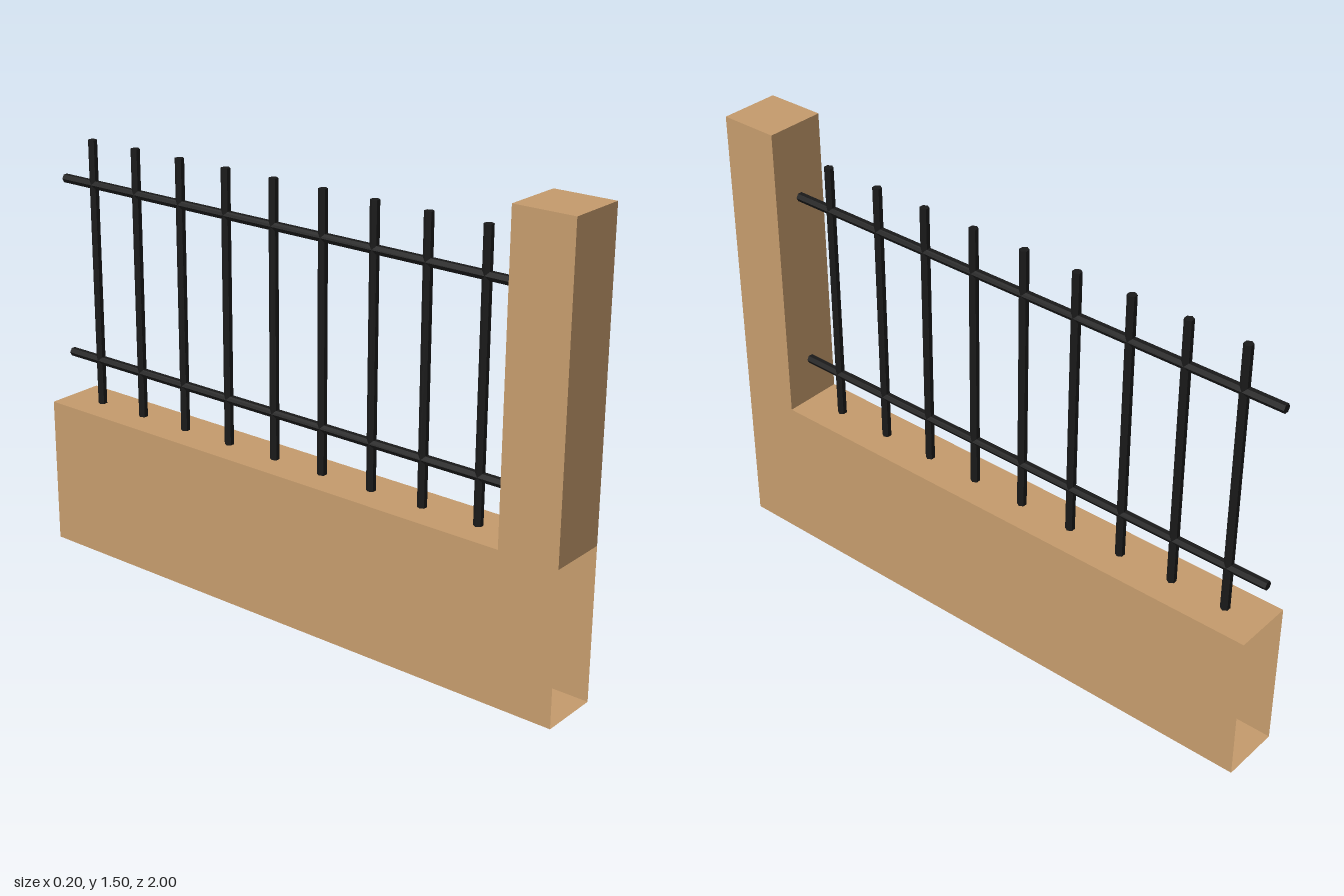
import * as THREE from 'three';

export function createModel() {
  const model = new THREE.Group();
  const stone = new THREE.MeshStandardMaterial({ name: 'tan stone', color: 0xc69c6d, side: THREE.DoubleSide });
  const iron = new THREE.MeshStandardMaterial({ name: 'black iron', color: 0x1a1a1a, flatShading: true });

  const add = (parent, name, geometry, material, x = 0, y = 0, z = 0) => {
    const mesh = new THREE.Mesh(geometry, material);
    mesh.name = name;
    mesh.position.set(x, y, z);
    parent.add(mesh);
  };

  // Hollow wall with a pillar at the front; its low ends are open
  const wall = new THREE.Group();
  wall.name = 'wall';
  model.add(wall);
  const halfWidth = 0.1;
  const profile = new THREE.Shape(
    [[-1, 0], [1, 0], [1, 0.5], [-0.8, 0.5], [-0.8, 1.5], [-1, 1.5]].map(([a, b]) => new THREE.Vector2(a, b)));
  const side = new THREE.ShapeGeometry(profile).rotateY(Math.PI / 2);
  add(wall, 'leftSide', side, stone, halfWidth);
  const otherSide = new THREE.ShapeGeometry(profile).rotateY(Math.PI / 2).rotateY(Math.PI).scale(1, 1, -1);
  // Mirroring reverses the corners, so restore the outward order
  const index = otherSide.index.array;
  for (let i = 0; i < index.length; i += 3) [index[i], index[i + 1]] = [index[i + 1], index[i]];
  otherSide.computeVertexNormals();
  add(wall, 'rightSide', otherSide, stone, -halfWidth);

  const slab = (length, turn) => new THREE.PlaneGeometry(2 * halfWidth, length).rotateX(turn);
  add(wall, 'floor', slab(2, Math.PI / 2), stone, 0, 0, 0);
  add(wall, 'wallTop', slab(1.8, -Math.PI / 2), stone, 0, 0.5, -0.1);
  add(wall, 'pillarTop', slab(0.2, -Math.PI / 2), stone, 0, 1.5, 0.9);
  add(wall, 'pillarFront', slab(1, 0), stone, 0, 1, 1);
  add(wall, 'pillarBack', slab(1, Math.PI), stone, 0, 1, 0.8);

  // Six-sided iron rods
  const fence = new THREE.Group();
  fence.name = 'fence';
  model.add(fence);
  const rod = (length) => new THREE.CylinderGeometry(0.015, 0.015, length, 6).rotateY(Math.PI / 6);
  const bar = rod(0.9);
  for (let i = 0; i < 9; i++) {
    const z = i === 0 ? 0.664 : 0.463 - (i - 1) * 0.19;
    add(fence, 'bar', bar, iron, 0, 0.95, z);
  }
  const rail = rod(1.8).rotateX(Math.PI / 2);
  for (const y of [0.653, 1.253]) add(fence, 'rail', rail, iron, 0, y, -0.1);

  return model;
}
